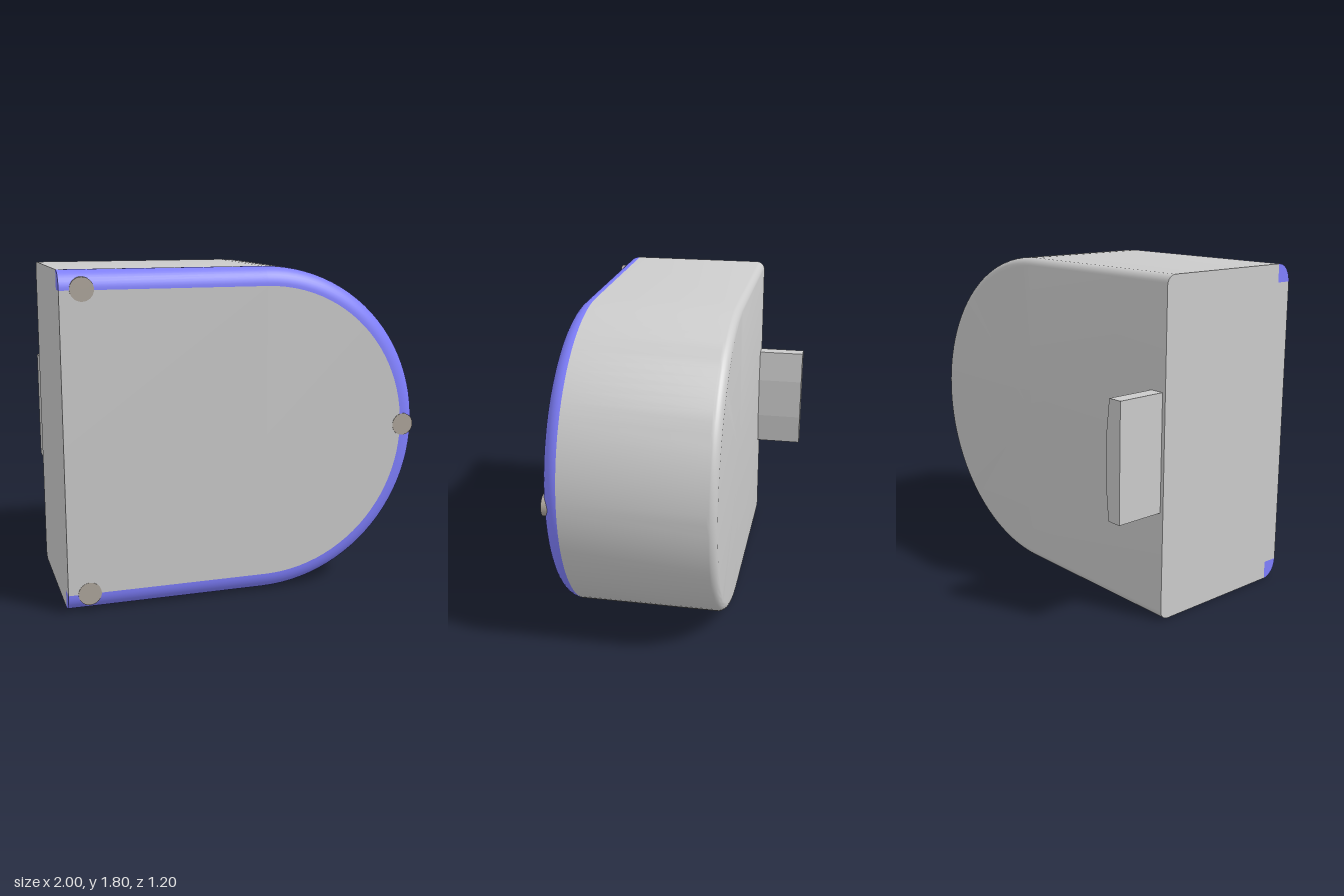
import * as THREE from 'three';
import { toCreasedNormals } from 'three/addons/utils/BufferGeometryUtils.js';

const LEFT = -1, CX = 0.1, R = 0.9, BACK = -0.32, FRONT = 0.6, SEAM = 0.51;
const FILLET = 0.05, RIM = 0.1;

// Outline of the D shape, shrunk by an inset
function outline(inset) {
  const r = R - inset, n = 48, pts = [[LEFT, R + r]];
  for (let i = 0; i <= n; i++) {
    const a = Math.PI / 2 - (Math.PI * i) / n;
    pts.push([CX + r * Math.cos(a), R + r * Math.sin(a)]);
  }
  pts.push([LEFT, R - r]);
  return pts;
}

// Sweeps a profile of [inset, z] points, back to front, around the D
function sweep(profile) {
  const loops = profile.map(([inset]) => outline(inset));
  const n = loops[0].length, pos = [], idx = [];
  loops.forEach((loop, j) => loop.forEach(([x, y]) => pos.push(x, y, profile[j][1])));
  for (let j = 0; j < loops.length - 1; j++) {
    for (let i = 0; i < n - 1; i++) {
      const a = j * n + i, b = a + n;
      idx.push(a, b, a + 1, b, b + 1, a + 1);
    }
  }
  const g = new THREE.BufferGeometry();
  g.setAttribute('position', new THREE.Float32BufferAttribute(pos, 3));
  g.setIndex(idx);
  return toCreasedNormals(g, 0.6);
}

// Flat end in the x = LEFT plane from [z, y] points
function endCap(points) {
  const g = new THREE.ShapeGeometry(new THREE.Shape(points.map(([z, y]) => new THREE.Vector2(z, y))));
  return g.rotateY(-Math.PI / 2).translate(LEFT, 0, 0);
}

export function createModel() {
  const group = new THREE.Group();
  const grey = new THREE.MeshStandardMaterial({ color: 0xcccccc });
  const blue = new THREE.MeshStandardMaterial({ color: 0x8080ff });
  const footGrey = new THREE.MeshStandardMaterial({ color: 0xaea69c });
  const add = (name, geometry, material) => {
    const mesh = new THREE.Mesh(geometry, material);
    mesh.name = name;
    group.add(mesh);
    return mesh;
  };

  // Housing with a rounded back edge and a step that seats the rim
  const body = [[R, BACK]];
  for (let i = 0; i <= 8; i++) {
    const a = (Math.PI / 2) * (i / 8);
    body.push([FILLET * (1 - Math.sin(a)), BACK + FILLET * (1 - Math.cos(a))]);
  }
  body.push([0, SEAM], [RIM, SEAM], [RIM, FRONT - 0.002], [R, FRONT - 0.002]);
  add('housing', sweep(body), grey);
  const edge = body.slice(1, -1);
  add('housingEnd', endCap([
    ...edge.map(([d, z]) => [z, 2 * R - d]),
    ...edge.map(([d, z]) => [z, d]).reverse(),
  ]), grey);

  // Coloured rounded rim along the front edge
  const rim = [];
  for (let i = 0; i <= 10; i++) {
    const a = (Math.PI / 2) * (i / 10);
    rim.push([RIM * (1 - Math.cos(a)), SEAM + (FRONT - 0.002 - SEAM) * Math.sin(a)]);
  }
  add('rim', sweep(rim), blue);
  const sector = [...rim, [RIM, SEAM]];
  add('rimEndTop', endCap(sector.map(([d, z]) => [z, 2 * R - d])), blue);
  add('rimEndBottom', endCap(sector.map(([d, z]) => [z, d])), blue);

  // Round feet set into the rim
  for (const [x, y] of [[-0.885, 1.705], [-0.885, 0.1], [0.915, 0.905]]) {
    const foot = new THREE.CylinderGeometry(0.062, 0.062, 0.1, 32).rotateX(Math.PI / 2);
    add('foot', foot, footGrey).position.set(x, y, FRONT - 0.05);
  }

  // Tab on the back with a bowed inner side
  const tab = new THREE.Shape([
    [-0.98, 0.59], [-0.9, 0.59], [-0.88, 0.78], [-0.88, 1.03], [-0.9, 1.22], [-0.98, 1.22],
  ].map(([x, y]) => new THREE.Vector2(x, y)));
  const tabGeometry = new THREE.ExtrudeGeometry(tab, { depth: 0.29, bevelEnabled: false });
  add('tab', tabGeometry, grey).position.z = -0.6;

  return group;
}
